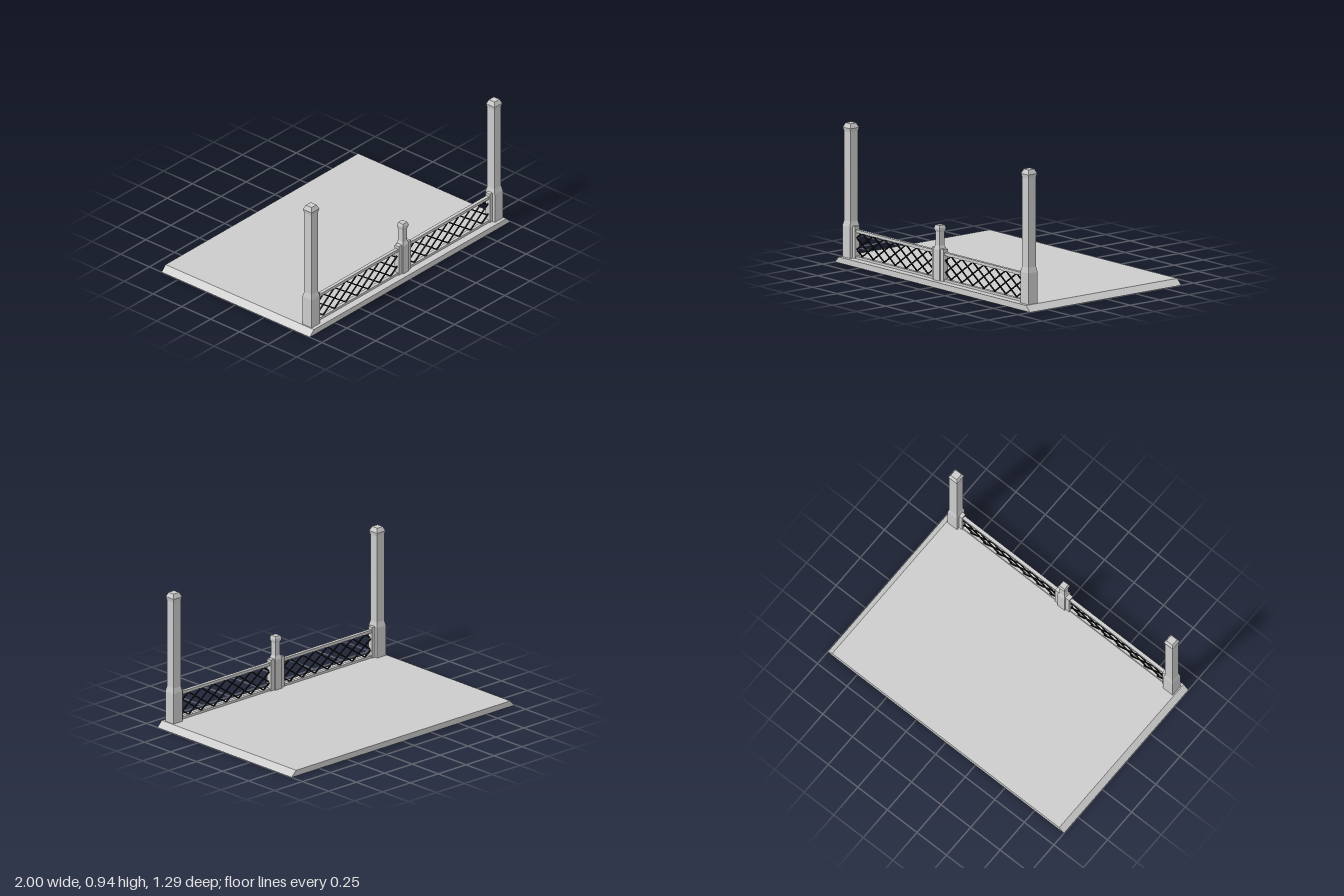
import * as THREE from 'three';

const FENCE_Z = 0.58;
const BASE_TOP = 0.04;

export function createModel() {
  const model = new THREE.Group();
  const grey = new THREE.MeshStandardMaterial({ color: 0xcccccc, flatShading: true });
  const dark = new THREE.MeshStandardMaterial({ color: 0x111111, flatShading: true });

  function add(name, geometry, x, y, z, material = grey, parent = model) {
    const mesh = new THREE.Mesh(geometry, material);
    mesh.name = name;
    mesh.position.set(x, y, z);
    parent.add(mesh);
    return mesh;
  }

  // Box given by its x and y limits, centred on the fence line
  function fenceBox(name, x0, x1, y0, y1, depth, parent) {
    add(name, new THREE.BoxGeometry(x1 - x0, y1 - y0, depth),
      (x0 + x1) / 2, (y0 + y1) / 2, FENCE_Z, grey, parent);
  }

  // Square post: profile of [half width, height] turned in four steps
  function squarePost(name, x, profile) {
    const points = profile.map(([half, y]) => new THREE.Vector2(half * Math.SQRT2, y));
    const geometry = new THREE.LatheGeometry(points, 4);
    geometry.rotateY(Math.PI / 4);
    add(name, geometry, x, 0, FENCE_Z);
  }

  // Floor slab with sloping left and right edges
  const section = new THREE.Shape([
    new THREE.Vector2(-1, 0), new THREE.Vector2(1, 0),
    new THREE.Vector2(0.96, BASE_TOP), new THREE.Vector2(-0.96, BASE_TOP),
  ]);
  const slab = new THREE.ExtrudeGeometry(section, { depth: 1.29, bevelEnabled: false });
  add('floorSlab', slab, 0, 0, -0.645);

  // Tall corner posts and the short middle post
  const tall = [[0, 0.04], [0.04, 0.04], [0.04, 0.25], [0.0325, 0.285], [0.0325, 0.885],
    [0.038, 0.91], [0.025, 0.94], [0, 0.94]];
  const short = [[0, 0.04], [0.03, 0.04], [0.03, 0.25], [0.021, 0.275], [0.021, 0.365],
    [0.027, 0.38], [0.027, 0.395], [0.021, 0.41], [0, 0.41]];
  squarePost('leftPost', 0.912, tall);
  squarePost('rightPost', -0.912, tall);
  squarePost('middlePost', 0, short);

  // Diagonal slats clipped to the panel opening, one layer per direction
  function lattice(parent, x0, x1, y0, y1) {
    const pitch = 0.112, slope = 0.7, height = y1 - y0;
    const run = height / slope;
    for (const dir of [1, -1]) {
      for (let start = x0 - run + pitch / 2; start < x1; start += pitch) {
        const a = Math.max(start, x0), b = Math.min(start + run, x1);
        if (b - a < 0.005) continue;
        const rise = (x) => (x - start) * slope;
        const yMid = (rise(a) + rise(b)) / 2;
        const length = Math.hypot(b - a, rise(b) - rise(a));
        const slat = add('latticeSlat', new THREE.BoxGeometry(length, 0.008, 0.007),
          (a + b) / 2, dir > 0 ? y0 + yMid : y1 - yMid, FENCE_Z + dir * 0.0035, dark, parent);
        slat.rotation.z = dir * Math.atan(slope);
      }
    }
  }

  // Fence panel on each side of the middle post
  for (const side of [1, -1]) {
    const panel = new THREE.Group();
    panel.name = side > 0 ? 'leftPanel' : 'rightPanel';
    model.add(panel);
    const span = (a, b) => (side > 0 ? [a, b] : [-b, -a]);
    fenceBox('outerBlock', ...span(0.848, 0.885), BASE_TOP, 0.255, 0.038, panel);
    fenceBox('innerBlock', ...span(0.02, 0.06), BASE_TOP, 0.255, 0.038, panel);
    fenceBox('topRail', ...span(0.055, 0.853), 0.215, 0.235, 0.024, panel);
    fenceBox('bottomRail', ...span(0.055, 0.853), BASE_TOP, 0.056, 0.024, panel);
    lattice(panel, ...span(0.06, 0.848), 0.054, 0.217);
  }

  return model;
}
